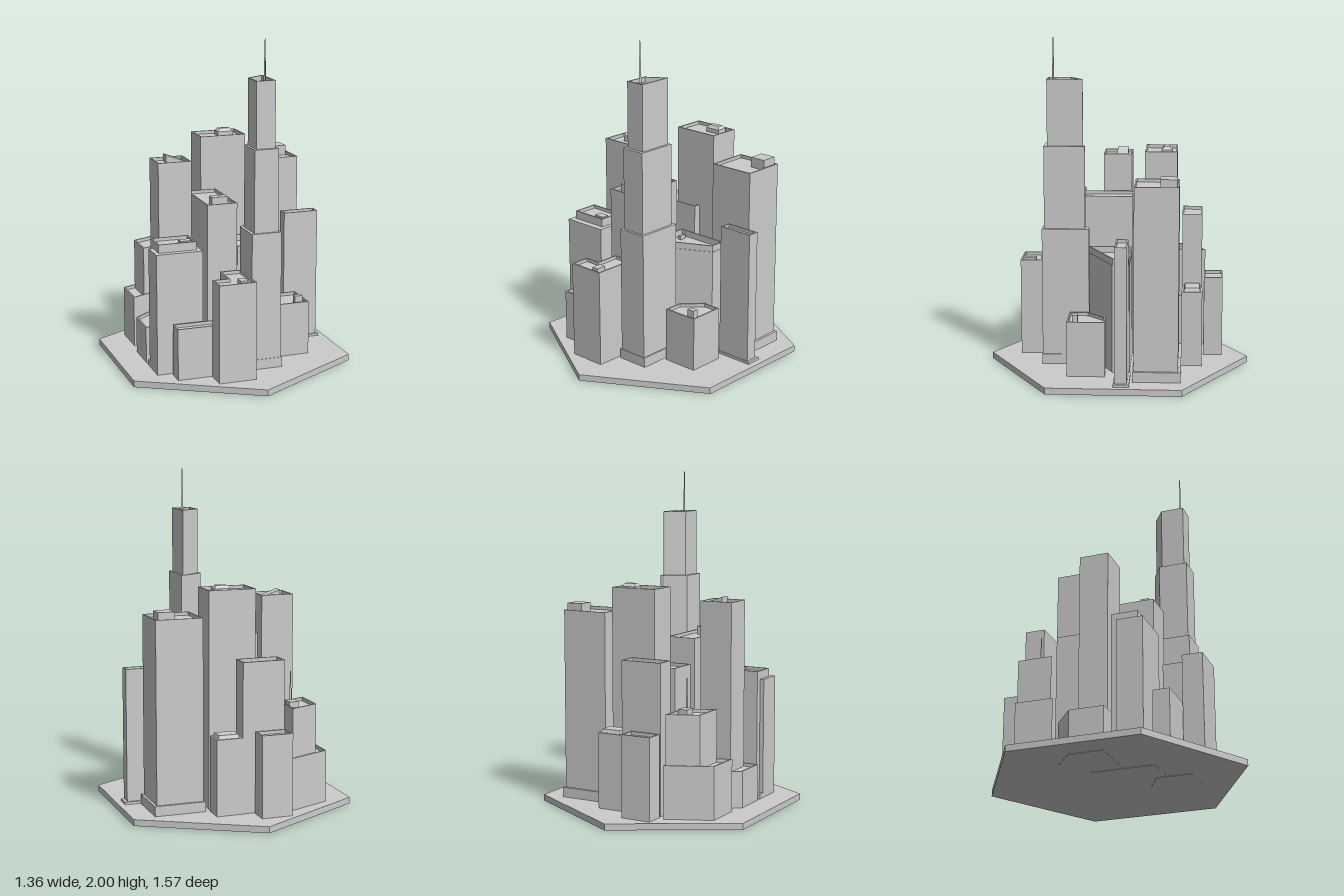
import * as THREE from 'three';

const material = new THREE.MeshStandardMaterial({ color: 0xcccccc, flatShading: true });
const rect = (x0, x1, z0, z1) => [[x0, z0], [x1, z0], [x1, z1], [x0, z1]];

// Moves every side of a plan polygon inwards by d
function inset(pts, d) {
  const n = pts.length;
  const area = pts.reduce((s, [x, z], i) => {
    const [u, v] = pts[(i + 1) % n];
    return s + x * v - u * z;
  }, 0);
  const sign = Math.sign(area);
  const normal = (a, b) => {
    const dx = b[0] - a[0], dz = b[1] - a[1], l = Math.hypot(dx, dz);
    return [(-dz / l) * sign, (dx / l) * sign];
  };
  return pts.map((p, i) => {
    const a = normal(pts[(i + n - 1) % n], p), b = normal(p, pts[(i + 1) % n]);
    const k = d / (1 + a[0] * b[0] + a[1] * b[1]);
    return [p[0] + (a[0] + b[0]) * k, p[1] + (a[1] + b[1]) * k];
  });
}

const toVectors = (pts) => pts.map(([x, z]) => new THREE.Vector2(x, -z));

// Upright prism over a plan polygon, optionally hollow (the hole winds the other way)
function prism(name, pts, y0, y1, hole) {
  const shape = new THREE.Shape(toVectors(pts));
  if (hole) shape.holes.push(new THREE.Path(toVectors(hole).reverse()));
  const geo = new THREE.ExtrudeGeometry(shape, { depth: y1 - y0, bevelEnabled: false });
  geo.rotateX(-Math.PI / 2).translate(0, y0, 0);
  const mesh = new THREE.Mesh(geo, material);
  mesh.name = name;
  return mesh;
}

// Block whose top face is shrunk by a fixed amount
function taperedBlock(name, x0, x1, z0, z1, y0, y1, shrink) {
  const w = x1 - x0, d = z1 - z0;
  const geo = new THREE.BoxGeometry(w, y1 - y0, d);
  const p = geo.attributes.position;
  for (let i = 0; i < p.count; i++) {
    if (p.getY(i) > 0) {
      p.setX(i, p.getX(i) * (1 - (2 * shrink) / w));
      p.setZ(i, p.getZ(i) * (1 - (2 * shrink) / d));
    }
  }
  geo.translate((x0 + x1) / 2, (y0 + y1) / 2, (z0 + z1) / 2);
  geo.computeVertexNormals();
  const mesh = new THREE.Mesh(geo, material);
  mesh.name = name;
  return mesh;
}

// Three-sided tapering mast
function spire(name, x, z, y0, y1, r) {
  const mesh = new THREE.Mesh(new THREE.CylinderGeometry(r * 0.35, r, y1 - y0, 3), material);
  mesh.position.set(x, (y0 + y1) / 2, z);
  mesh.name = name;
  return mesh;
}

const GROUND = 0.04;

// Building tier: solid core, roof recessed behind a parapet
function tier(pts, y0, y1, depth = 0.02, rim = 0.009) {
  const g = new THREE.Group();
  g.name = 'tier';
  g.add(prism('walls', pts, y0, y1 - depth));
  g.add(prism('parapet', pts, y1 - depth, y1, inset(pts, rim)));
  return g;
}

export function createModel() {
  const city = new THREE.Group();
  city.name = 'cityBlock';
  const building = (name, ...parts) => {
    const g = new THREE.Group();
    g.name = name;
    g.add(...parts);
    city.add(g);
  };

  // Hexagonal ground slab; three foundations show slightly beneath it
  city.add(prism('base', [[0, -0.787], [0.682, -0.393], [0.682, 0.393], [0, 0.787], [-0.682, 0.393], [-0.682, -0.393]], 0.002, GROUND));

  // Tallest tower: stepped tiers with one cut corner
  building('spireTower',
    prism('podium', [[0.017, 0.238], [0.159, 0.16], [0.217, 0.16], [0.217, 0.455], [0.017, 0.455]], 0, 0.1),
    prism('lowerShaft', [[0.026, 0.244], [0.162, 0.17], [0.209, 0.17], [0.209, 0.452], [0.026, 0.452]], 0.1, 0.87),
    prism('middleShaft', [[0.044, 0.266], [0.168, 0.194], [0.193, 0.194], [0.193, 0.439], [0.044, 0.439]], 0.87, 1.365),
    tier([[0.06, 0.279], [0.168, 0.206], [0.178, 0.206], [0.178, 0.419], [0.06, 0.419]], 1.365, 1.76, 0.03),
    prism('mastBase', rect(0.107, 0.142, 0.364, 0.394), 1.73, 1.755),
    spire('mast', 0.125, 0.382, 1.755, 2, 0.008));

  // Back centre tower with a lower wing
  building('centreTower',
    tier(rect(-0.081, 0.208, -0.352, -0.162), GROUND, 1.34),
    tier(rect(-0.19, 0.1, -0.307, -0.117), GROUND, 0.88),
    prism('skylightBase', rect(0.064, 0.162, -0.323, -0.258), 1.32, 1.345),
    taperedBlock('skylight', 0.064, 0.162, -0.323, -0.258, 1.345, 1.363, 0.016));

  // Back left tower
  building('wideTower',
    prism('podium', rect(0.239, 0.55, -0.383, -0.101), GROUND, 0.1),
    tier(rect(0.249, 0.535, -0.369, -0.11), 0.1, 1.188),
    prism('roofUnit', rect(0.418, 0.517, -0.358, -0.26), 1.168, 1.23));

  // Tower rising from a podium with a cut corner
  const wedgeShape = new THREE.Shape(toVectors([[-0.36, -1.235], [-0.255, -1.235], [-0.255, -1.245], [-0.36, -1.282]]));
  const wedge = new THREE.Mesh(new THREE.ExtrudeGeometry(wedgeShape, { depth: 0.068, bevelEnabled: false }), material);
  wedge.position.z = -0.041;
  wedge.name = 'roofWedge';
  building('wedgeRoofTower',
    tier([[-0.525, 0.121], [-0.525, -0.087], [-0.36, -0.218], [-0.216, -0.218], [-0.216, 0.121]], 0, 0.262),
    tier(rect(-0.435, -0.231, -0.067, 0.109), 0.242, 1.255),
    wedge);

  // Long slab in the middle
  building('slabTower',
    tier(rect(-0.199, -0.014, -0.082, 0.306), 0, 1.03),
    prism('roofUnit', rect(-0.155, -0.057, 0.212, 0.262), 1.01, 1.062));

  // Tapering block with a slight setback below its roof
  const wedgePlan = [[0.028, -0.079], [0.369, -0.079], [0.369, 0.023], [0.028, 0.194]];
  building('angledBlock',
    prism('walls', wedgePlan, GROUND, 0.692),
    prism('parapet', inset(wedgePlan, 0.003), 0.692, 0.73, inset(wedgePlan, 0.012)),
    prism('roofUnit', rect(0.07, 0.09, -0.045, 0), 0.692, 0.715));

  // Narrow slab at the left edge
  building('narrowSlab',
    prism('plinth', rect(0.393, 0.646, -0.088, 0.005), GROUND, 0.055),
    tier(rect(0.409, 0.629, -0.075, -0.003), 0.055, 0.858));

  // Low block with a cut corner
  building('cutCornerBlock',
    tier([[0.236, 0.287], [0.236, 0.17], [0.347, 0.064], [0.458, 0.064], [0.458, 0.287]], GROUND, 0.37),
    prism('roofUnit', rect(0.381, 0.428, 0.223, 0.256), 0.35, 0.402));

  // L-shaped block at the front
  building('cornerBlock',
    tier([[-0.229, 0.483], [-0.132, 0.483], [-0.132, 0.336], [-0.001, 0.336], [-0.001, 0.606], [-0.229, 0.606]], GROUND, 0.63),
    prism('roofUnit', rect(-0.088, -0.045, 0.515, 0.577), 0.61, 0.635));

  // Tower wrapped on three sides by a slightly lower block
  building('steppedBlock',
    prism('plinth', rect(-0.525, -0.243, 0.151, 0.351), GROUND, 0.07),
    prism('wrap', rect(-0.525, -0.243, 0.192, 0.351), 0.07, 0.77),
    tier(rect(-0.5, -0.27, 0.154, 0.313), 0.07, 0.82),
    prism('roofUnit', rect(-0.357, -0.29, 0.24, 0.287), 0.8, 0.822));

  building('lowFrontBlock', tier(rect(-0.437, -0.169, 0.374, 0.474), GROUND, 0.35));

  // Skewed block with a lower wing and an aerial
  building('skewedBlock',
    tier([[-0.509, -0.421], [-0.243, -0.538], [-0.243, -0.309], [-0.509, -0.191]], GROUND, 0.355),
    tier([[-0.43, -0.445], [-0.25, -0.525], [-0.25, -0.316], [-0.43, -0.236]], 0.335, 0.65),
    prism('roofUnit', rect(-0.33, -0.273, -0.416, -0.34), 0.63, 0.665),
    spire('aerial', -0.3, -0.358, 0.665, 0.84, 0.008));

  // Row along the back edge
  building('backSlab', tier(rect(-0.205, 0.053, -0.503, -0.383), GROUND, 0.938));
  building('backLowBlock',
    prism('walls', rect(0.053, 0.214, -0.506, -0.383), GROUND, 0.495),
    taperedBlock('roofCap', 0.068, 0.202, -0.496, -0.395, 0.495, 0.517, 0.008));
  building('rearBlock', tier(rect(-0.207, -0.018, -0.631, -0.517), GROUND, 0.53));

  return city;
}
